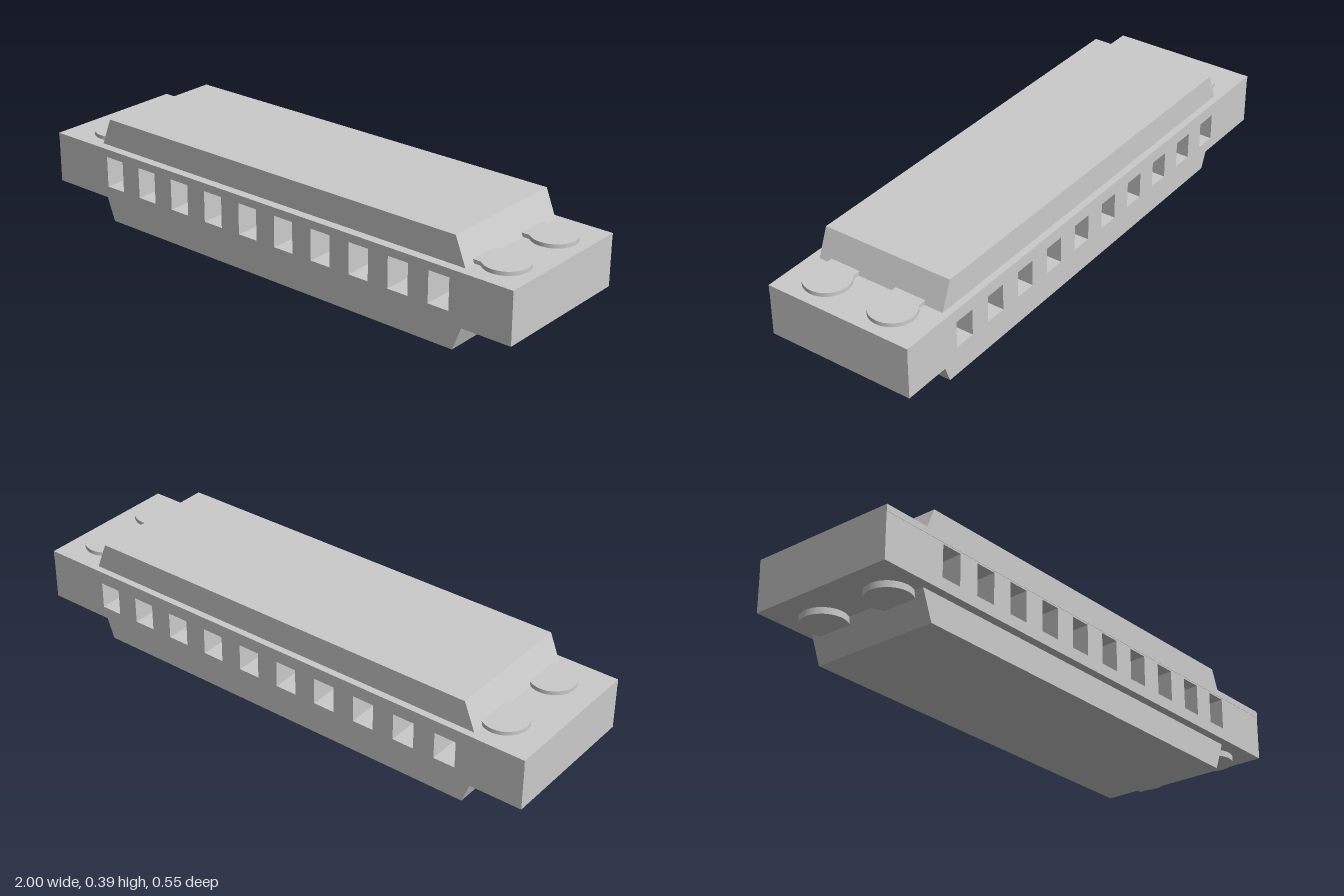
import * as THREE from 'three';

export function createModel() {
  const group = new THREE.Group();
  const mat = new THREE.MeshStandardMaterial({ color: 0xcccccc });
  const add = (name, geometry, x = 0, y = 0, z = 0) => {
    const mesh = new THREE.Mesh(geometry, mat);
    mesh.name = name;
    mesh.position.set(x, y, z);
    group.add(mesh);
    return mesh;
  };
  const polygon = (points) => new THREE.Shape(points.map(([x, y]) => new THREE.Vector2(x, y)));

  // Comb: long block pierced by ten square air channels
  const bottom = 0.105, combTop = 0.268, plateTop = 0.292;
  const holeLow = 0.148, holeHigh = 0.245;
  const comb = polygon([[-1, bottom], [1, bottom], [1, combTop], [-1, combTop]]);
  for (let i = 0; i < 10; i++) {
    const x = -0.71 + i * 0.1594, w = 0.04;
    comb.holes.push(new THREE.Path([
      new THREE.Vector2(x - w, holeLow), new THREE.Vector2(x - w, holeHigh),
      new THREE.Vector2(x + w, holeHigh), new THREE.Vector2(x + w, holeLow),
    ]));
  }
  const combGeometry = new THREE.ExtrudeGeometry(comb, { depth: 0.547, bevelEnabled: false });
  combGeometry.translate(0, 0, -0.274);
  // Channel ceilings rise toward the front openings
  const p = combGeometry.attributes.position;
  for (let i = 0; i < p.count; i++) {
    if (Math.abs(p.getY(i) - holeHigh) < 1e-4 && p.getZ(i) > 0) p.setY(i, 0.262);
  }
  combGeometry.computeVertexNormals();
  add('comb', combGeometry);

  // Thin plate over the comb
  add('topPlate', new THREE.BoxGeometry(2, plateTop - combTop, 0.549), 0, (plateTop + combTop) / 2, -0.0005);

  // Cover plates with sloping ends
  const cover = (name, base, outer, zBack, zFront) => {
    const points = [[-0.8, base], [0.8, base], [0.76, outer], [-0.76, outer]];
    const geometry = new THREE.ExtrudeGeometry(polygon(points), { depth: zFront - zBack, bevelEnabled: false });
    add(name, geometry, 0, 0, zBack);
  };
  cover('topCover', plateTop, 0.392, -0.25, 0.241);
  cover('bottomCover', bottom, 0, -0.239, 0.241);

  // Round fasteners at both ends, above and below
  const fastener = (name, x, z, y0, y1) => {
    const h = y1 - y0, y = (y0 + y1) / 2;
    add(name, new THREE.CylinderGeometry(0.08, 0.08, h, 40), x, y, z);
    // Short neck joining the left-hand discs to the cover
    if (x > 0) add(name + 'Neck', new THREE.BoxGeometry(0.055, h - 0.0005, 0.115), 0.8125, y, z);
  };
  const places = [
    ['rightFront', -0.84, 0.137, 0.137],
    ['rightBack', -0.84, -0.137, -0.14],
    ['leftFront', 0.88, 0.138, 0.138],
    ['leftBack', 0.88, -0.122, -0.167],
  ];
  for (const [name, x, zTop, zBottom] of places) {
    fastener(name + 'TopFastener', x, zTop, plateTop - 0.004, 0.306);
    fastener(name + 'BottomFastener', x, zBottom, 0.082, bottom + 0.004);
  }
  return group;
}
